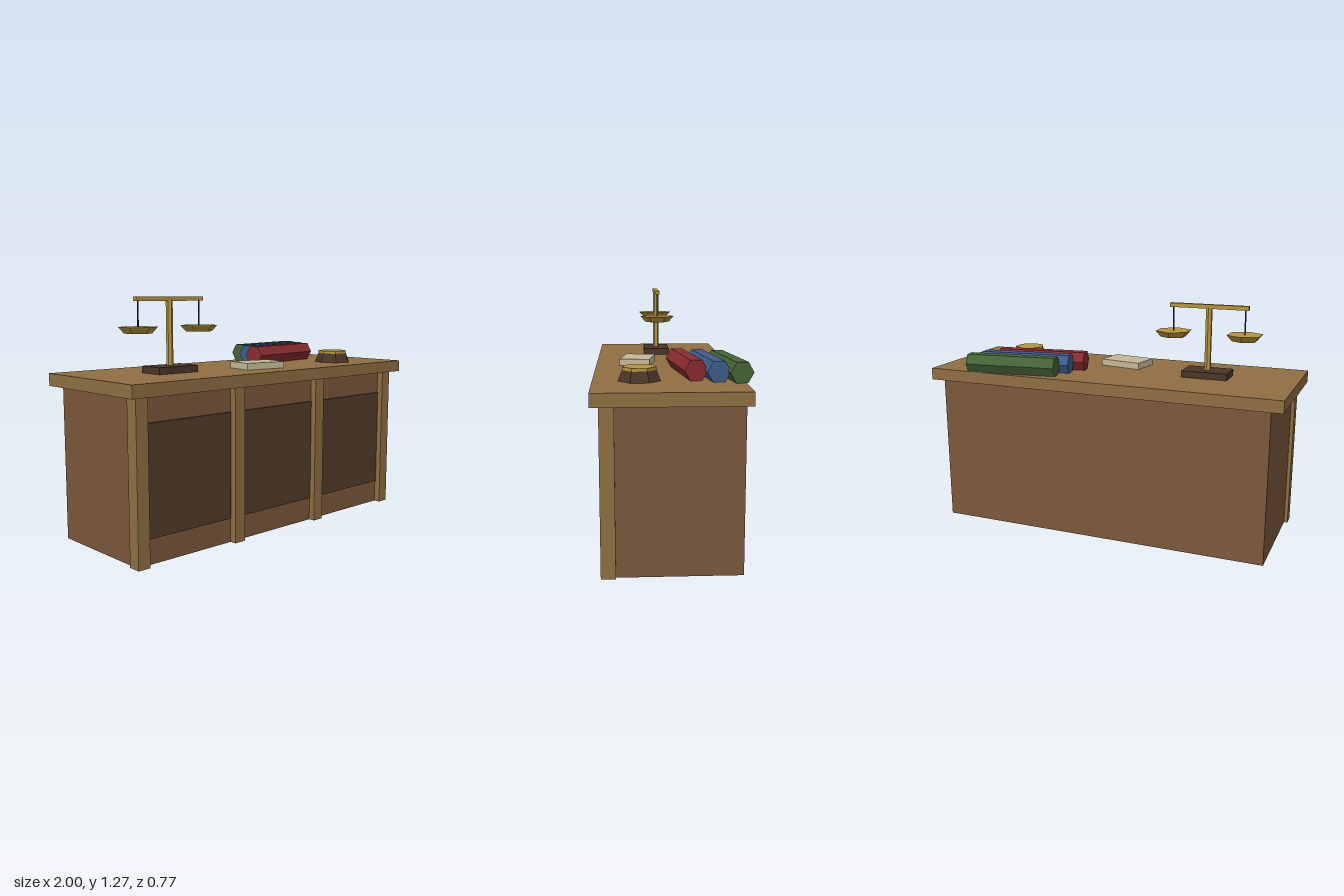
import * as THREE from 'three';

const mat = (color) => new THREE.MeshStandardMaterial({ color, flatShading: true });
const oak = mat(0x8f6e43), wood = mat(0x7b573b), panelWood = mat(0x503b29), darkWood = mat(0x4a3527);
const brass = mat(0xb8943f), iron = mat(0x2b2d30), paper = mat(0xc4b998);

export function createModel() {
  const model = new THREE.Group();
  model.name = 'counter';

  const add = (parent, name, geometry, material, x, y, z) => {
    const mesh = new THREE.Mesh(geometry, material);
    mesh.name = name;
    mesh.position.set(x, y, z);
    parent.add(mesh);
    return mesh;
  };
  const box = (w, h, d) => new THREE.BoxGeometry(w, h, d);
  const prism = (top, bottom, h, sides = 6) => new THREE.CylinderGeometry(top, bottom, h, sides);

  // Desk: body, overhanging top, front posts and raised panels
  add(model, 'body', box(1.87, 0.82, 0.635), wood, 0, 0.41, -0.0075);
  add(model, 'counterTop', box(2, 0.065, 0.735), oak, 0, 0.8525, 0.0175);
  for (let i = 0; i < 4; i++) {
    add(model, 'frontPost', box(0.068, 0.82, 0.07), oak, -0.92 + i * 0.6133, 0.41, 0.311);
  }
  for (let i = -1; i <= 1; i++) {
    add(model, 'frontPanel', box(0.532, 0.56, 0.03), panelWood, i * 0.6133, 0.41, 0.305);
  }

  // Balance scale
  const scale = new THREE.Group();
  scale.name = 'balanceScale';
  scale.position.set(-0.513, 0.885, 0.033);
  model.add(scale);
  add(scale, 'scaleBase', box(0.25, 0.036, 0.15), darkWood, 0, 0.018, 0);
  add(scale, 'scalePost', prism(0.018, 0.018, 0.35), brass, 0, 0.2, 0);
  add(scale, 'scaleBeam', box(0.43, 0.022, 0.026), brass, 0, 0.379, 0);
  for (const side of [-1, 1]) {
    add(scale, 'panRod', prism(0.004, 0.004, 0.15), iron, side * 0.197, 0.3, 0);
    add(scale, 'pan', prism(0.1, 0.07, 0.033), brass, side * 0.197, 0.2235, 0);
  }

  // Six-sided rolls lying on a flat side
  const rolls = [[0x8a2c30, 0.422, -0.084], [0x3f5c8c, 0.468, -0.19], [0x466438, 0.505, -0.295]];
  for (const [color, x, z] of rolls) {
    const geometry = prism(0.058, 0.058, 0.507).rotateZ(Math.PI / 2);
    add(model, 'clothRoll', geometry, mat(color), x, 0.935, z).rotation.y = 0.13;
  }

  // Ledger
  add(model, 'ledger', box(0.244, 0.036, 0.167), paper, 0, 0.903, 0.155).rotation.y = -0.17;

  // Coin bowl: tapered seven-sided dish with a brass fill
  const bowl = new THREE.Group();
  bowl.name = 'coinBowl';
  bowl.position.set(0.637, 0.885, 0.157);
  bowl.rotation.y = -Math.PI / 2;
  model.add(bowl);
  add(bowl, 'bowl', prism(0.08, 0.107, 0.064, 7), darkWood, 0, 0.032, 0);
  add(bowl, 'coins', prism(0.085, 0.085, 0.018, 7), brass, 0, 0.059, 0);

  return model;
}
